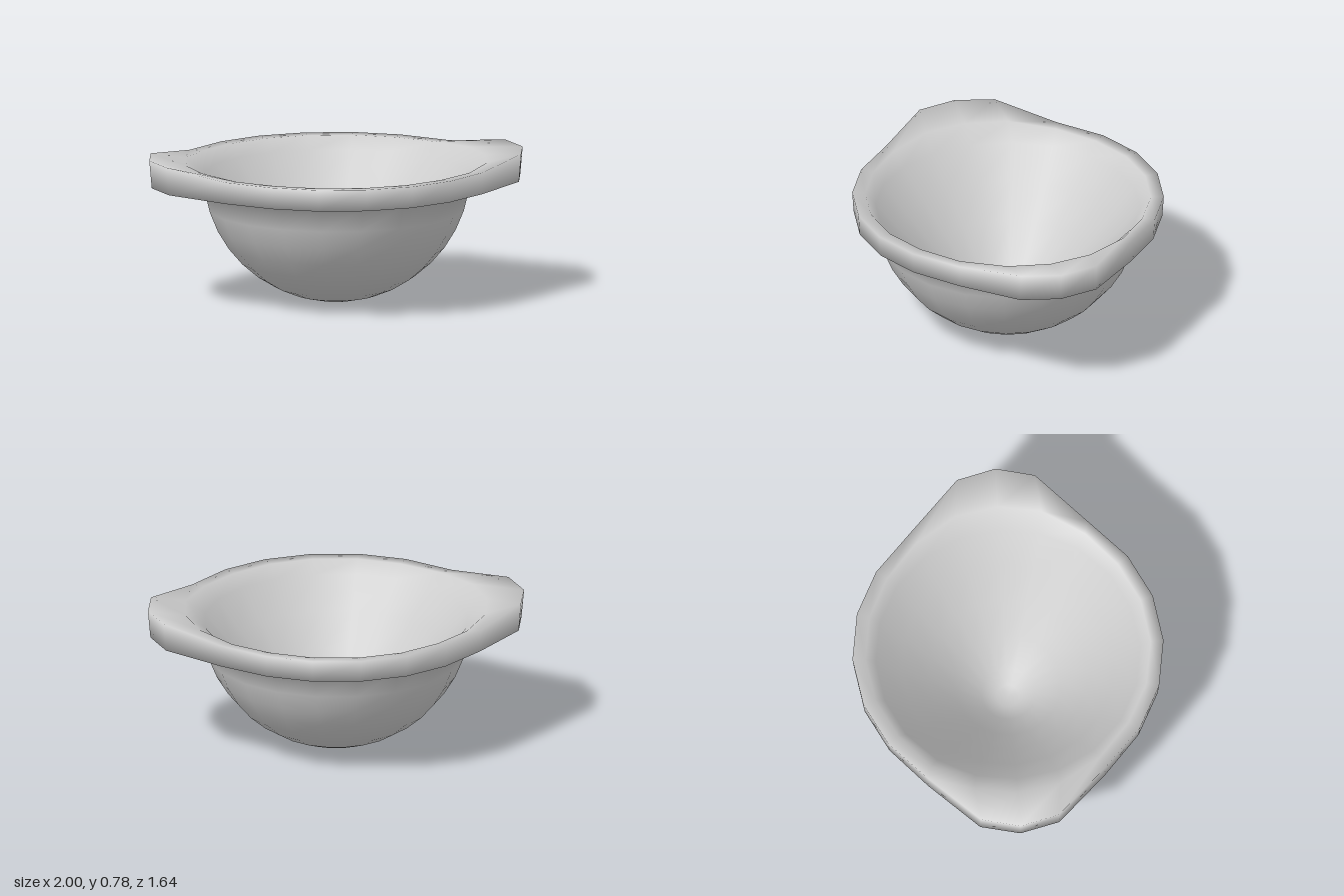
import * as THREE from 'three';
import { mergeVertices } from 'three/addons/utils/BufferGeometryUtils.js';

const SIDES = 20;
const RADIUS = 0.71;

// Handle outline, from its middle outwards: x and z of each drawn-out point
const HANDLE = [[1, 0], [0.95, 0.205], [0.69, 0.465]];

// Closed wall profile: round outside of the bowl, rim, funnel-shaped inside.
// Each point holds radius, height, pull towards the handle outline, handle lift.
function wallProfile() {
  const outside = [];
  for (let i = 0; i <= 8; i++) {
    const t = (i * Math.PI) / 20;
    outside.push([RADIUS * Math.sin(t), RADIUS * (1 - Math.cos(t)), 0, 0]);
  }
  const rim = [
    [0.705, 0.612, 0, 0],
    [0.81, 0.625, 0.93, 0.008],
    [0.818, 0.74, 1, 0.04],
    [0.75, 0.737, 0.2, 0.008],
  ];
  const inside = [
    [0.695, 0.67, 0, 0],
    [0.56, 0.515, 0, 0],
    [0.42, 0.36, 0, 0],
    [0.28, 0.205, 0, 0],
    [0.14, 0.065, 0, 0],
    [0.06, 0.035, 0, 0],
    [0, 0.03, 0, 0],
  ];
  return [...outside, ...rim, ...inside];
}

// One point of a ring; the points at each side are drawn out into a handle
function ringPoint([r, y, pull, lift], i) {
  const a = (i / SIDES) * Math.PI * 2;
  const v = new THREE.Vector3(r * Math.cos(a), y, r * Math.sin(a));
  const fromSide = Math.min(i % 10, 10 - (i % 10));
  if (fromSide < HANDLE.length) {
    const [x, z] = HANDLE[fromSide];
    v.lerp(new THREE.Vector3(Math.sign(v.x) * x, y, Math.sign(v.z) * z), pull);
    if (fromSide < 2) v.y += lift;
  }
  return v;
}

function bowlGeometry() {
  const profile = wallProfile();
  const positions = [];
  const indices = [];
  profile.forEach((p) => {
    for (let i = 0; i < SIDES; i++) positions.push(...ringPoint(p, i).toArray());
  });
  const last = profile.length - 2;
  for (let j = 0; j <= last; j++) {
    for (let i = 0; i < SIDES; i++) {
      const n = (i + 1) % SIDES;
      const a = j * SIDES + i, b = j * SIDES + n;
      const c = a + SIDES, d = b + SIDES;
      if (j > 0) indices.push(a, c, b);
      if (j < last) indices.push(b, c, d);
    }
  }
  let geometry = new THREE.BufferGeometry();
  geometry.setAttribute('position', new THREE.Float32BufferAttribute(positions, 3));
  geometry.setIndex(indices);
  // Join the points at both poles so the shading stays smooth
  geometry = mergeVertices(geometry, 1e-4);
  geometry.computeVertexNormals();
  return geometry;
}

export function createModel() {
  const group = new THREE.Group();
  group.name = 'handledBowl';
  const bowl = new THREE.Mesh(bowlGeometry(), new THREE.MeshStandardMaterial({ color: 0xcccccc }));
  bowl.name = 'bowlWithRimHandles';
  group.add(bowl);
  return group;
}
